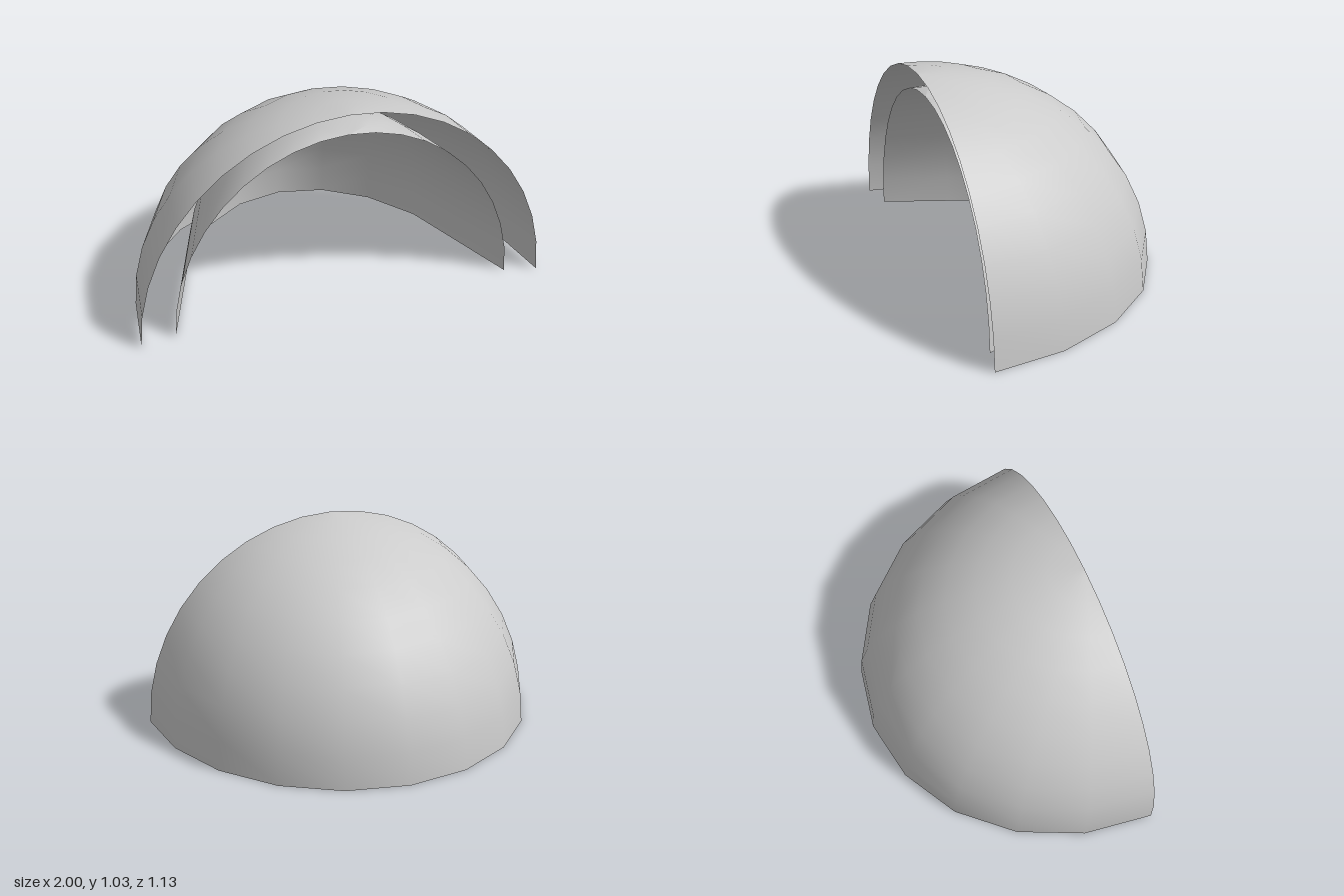
import * as THREE from 'three';

// Quarter ellipsoid, open at the front and below. radii is [x, y, z],
// rim is [half width, height] of its open front edge, (x, z) the rim's centre.
function quarterDome(name, radii, rim, x, z, material) {
  const geometry = new THREE.SphereGeometry(1, 10, 10, Math.PI, Math.PI, 0, Math.PI / 2);
  const p = geometry.attributes.position;
  for (let i = 0; i < p.count; i++) {
    const onRim = Math.abs(p.getZ(i)) < 1e-6;
    const [w, h] = onRim ? rim : radii;
    p.setXYZ(i, p.getX(i) * w + x, p.getY(i) * h, p.getZ(i) * radii[2] + z);
  }
  geometry.computeVertexNormals();
  const mesh = new THREE.Mesh(geometry, material);
  mesh.name = name;
  return mesh;
}

export function createModel() {
  const group = new THREE.Group();
  group.name = 'doubleShellDome';
  const material = new THREE.MeshStandardMaterial({ color: 0xcccccc, side: THREE.DoubleSide });

  // Outer canopy
  group.add(quarterDome('outerShell', [1, 1.03, 1.13], [1, 1.03], 0, 0.565, material));
  // Inner lining, narrower, with a flared front rim
  group.add(quarterDome('innerShell', [0.755, 0.93, 1.075], [0.837, 0.912], 0.006, 0.53, material));
  return group;
}
